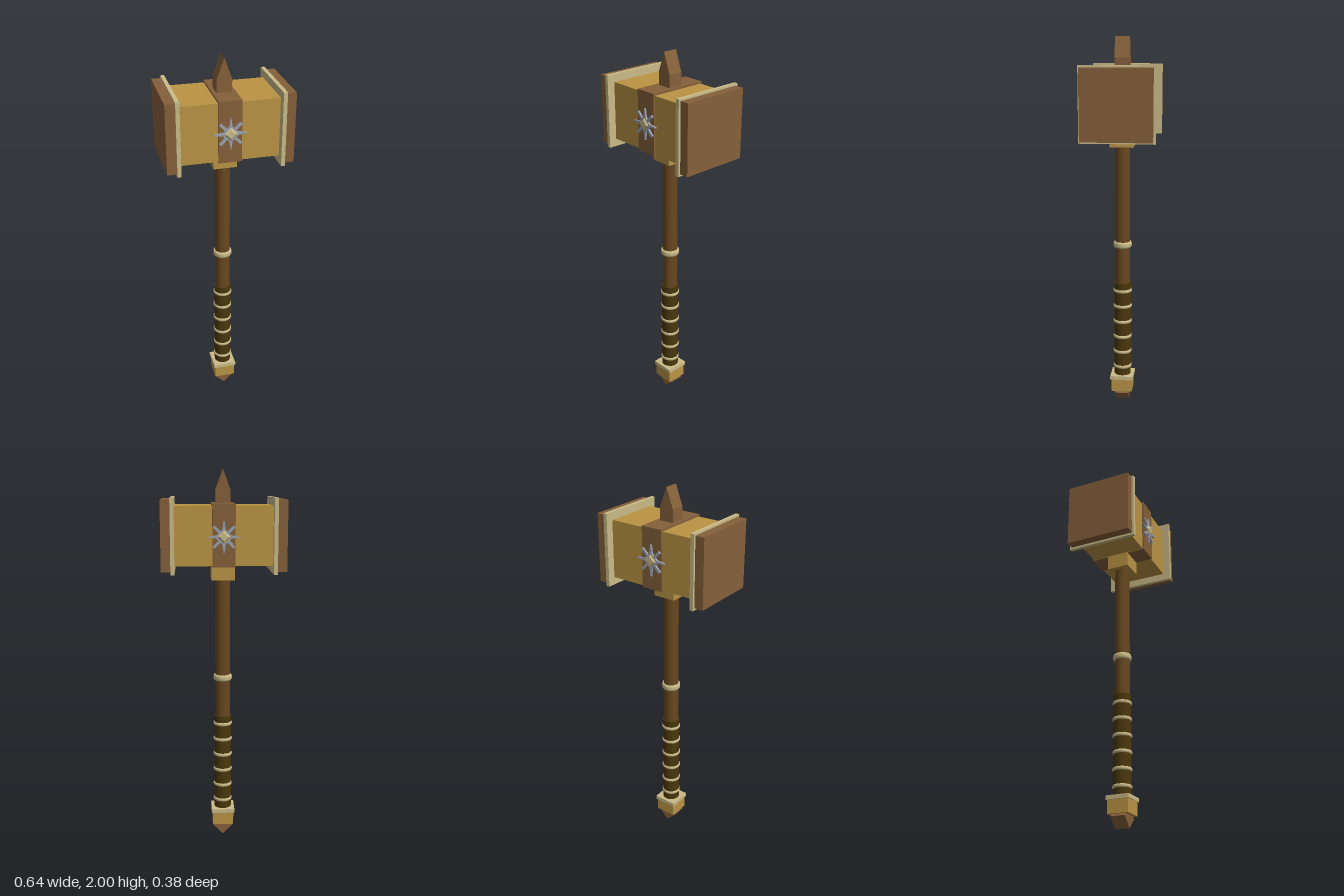
import * as THREE from 'three';

const mat = (name, color) => {
  const m = new THREE.MeshStandardMaterial({ color });
  m.name = name;
  return m;
};

export function createModel() {
  const root = new THREE.Group();
  root.name = 'warHammer';
  const gold = mat('gold', 0xba9444);
  const brown = mat('brown', 0x85603a);
  const cream = mat('cream', 0xcabb88);
  const wood = mat('handleWood', 0x684820);
  const leather = mat('gripLeather', 0x4a380c);
  const steel = mat('steel', 0x9aa2b2);

  const add = (name, geo, material, x = 0, y = 0, z = 0, parent = root) => {
    const m = new THREE.Mesh(geo, material);
    m.name = name;
    m.position.set(x, y, z);
    parent.add(m);
    return m;
  };
  // Box given by its centre x, bottom, top, full width and full depth
  const box = (name, material, x, y0, y1, w, d) =>
    add(name, new THREE.BoxGeometry(w, y1 - y0, d), material, x, (y0 + y1) / 2, 0);
  const rod = (name, material, r, y0, y1) =>
    add(name, new THREE.CylinderGeometry(r, r, y1 - y0, 16), material, 0, (y0 + y1) / 2, 0);
  // Flat outline in x and y, extruded along z and centred
  const prism = (points, depth) => {
    const shape = new THREE.Shape(points.map(([x, y]) => new THREE.Vector2(x, y)));
    return new THREE.ExtrudeGeometry(shape, { depth, bevelEnabled: false }).translate(0, 0, -depth / 2);
  };

  // Hammer head
  box('headBlock', gold, 0, 1.52, 1.82, 0.5, 0.3);
  box('headBand', brown, 0, 1.515, 1.83, 0.117, 0.317);
  box('headCollar', gold, 0, 1.437, 1.52, 0.122, 0.122);
  for (const s of [-1, 1]) {
    box('headFlange', cream, s * 0.26, 1.48, 1.86, 0.02, 0.383);
    box('strikingFace', brown, s * 0.294, 1.492, 1.85, 0.049, 0.36);
  }
  add('topSpike', prism([[-0.039, 1.82], [0.039, 1.82], [0.039, 1.895], [0, 2], [-0.039, 1.895]], 0.077), brown);

  // Handle, grip and their rings
  rod('handle', wood, 0.04, 0.68, 1.44);
  rod('grip', leather, 0.046, 0.15, 0.69);
  const ring = (name, y, r, h) => {
    const profile = [[0.036, -h / 2], [r - 0.004, -h / 2], [r, -h / 4], [r, h / 4], [r - 0.004, h / 2], [0.036, h / 2]]
      .map(([a, b]) => new THREE.Vector2(a, b));
    add(name, new THREE.LatheGeometry(profile, 16), cream, 0, y, 0);
  };
  ring('handleRing', 0.905, 0.05, 0.032);
  for (let i = 0; i < 6; i++) ring('gripRing', 0.205 + i * 0.088, 0.051, 0.018);

  // Pommel with a square foot turned on its corner
  box('pommelCap', cream, 0, 0.136, 0.157, 0.126, 0.126);
  box('pommelBlock', gold, 0, 0.066, 0.137, 0.114, 0.114);
  add('pommelTip', new THREE.BoxGeometry(0.077, 0.077, 0.077), brown, 0, 0.0545, 0).rotation.z = Math.PI / 4;

  // Eight-rayed star on both sides of the band
  for (const s of [1, -1]) {
    const star = new THREE.Group();
    star.name = s > 0 ? 'frontStar' : 'backStar';
    star.position.set(0, 1.667, s * 0.163);
    star.rotation.y = s > 0 ? 0 : Math.PI;
    root.add(star);
    for (let i = 0; i < 8; i++) {
      const outline = i % 2
        ? [[0, -0.007], [0.074, -0.007], [0.074, 0.007], [0, 0.007]]
        : [[0, -0.014], [0.081, -0.002], [0.081, 0.002], [0, 0.014]];
      add('starRay', prism(outline, 0.01), steel, 0, 0, 0, star).rotation.z = i * Math.PI / 4;
    }
    const diamond = r => [[r, 0], [0, r], [-r, 0], [0, -r]];
    add('starCentre', prism(diamond(0.045), 0.012), steel, 0, 0, 0, star);
    // Raised stone with a flat top
    const stone = new THREE.CylinderGeometry(0.022, 0.036, 0.008, 4).rotateX(Math.PI / 2).toNonIndexed();
    stone.computeVertexNormals();
    add('starStone', stone, cream, 0, 0, 0.009, star);
  }
  return root;
}
